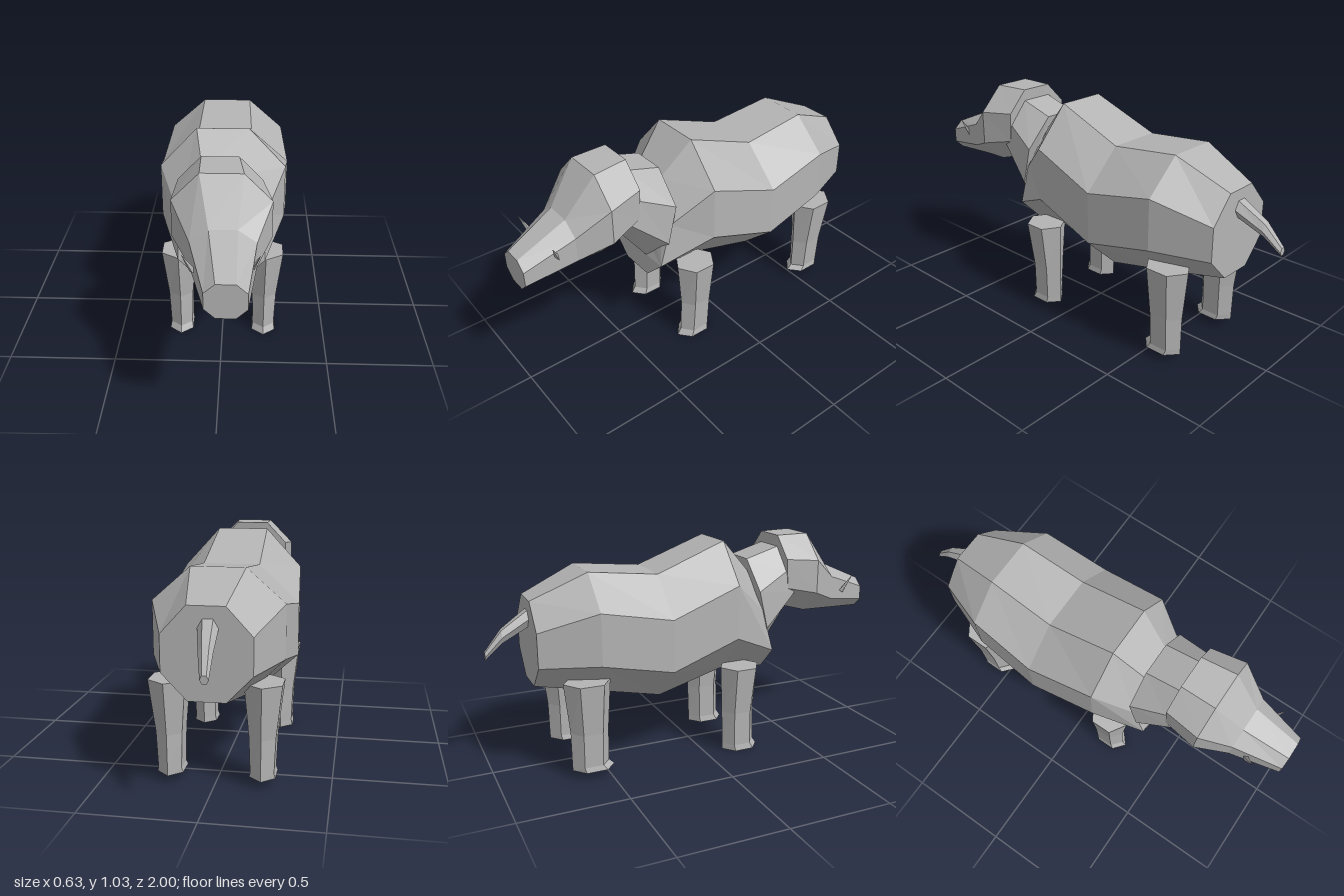
import * as THREE from 'three';

const hide = new THREE.MeshStandardMaterial({ color: 0xb4b4b4 });

// Skin a row of rings (each counter-clockwise about the direction of travel) and cap both ends, with flat faces.
function loft(name, rings) {
  const n = rings[0].length, pos = [];
  const tri = (a, b, c) => pos.push(...a, ...b, ...c);
  for (let r = 0; r + 1 < rings.length; r++) {
    const A = rings[r], B = rings[r + 1];
    for (let i = 0; i < n; i++) {
      const j = (i + 1) % n;
      tri(A[i], A[j], B[j]);
      tri(A[i], B[j], B[i]);
    }
  }
  const first = rings[0], last = rings[rings.length - 1];
  for (let i = 1; i + 1 < n; i++) {
    tri(first[0], first[i + 1], first[i]);
    tri(last[0], last[i], last[i + 1]);
  }
  const g = new THREE.BufferGeometry();
  g.setAttribute('position', new THREE.Float32BufferAttribute(pos, 3));
  g.computeVertexNormals();
  const mesh = new THREE.Mesh(g, hide);
  mesh.name = name;
  return mesh;
}

// Octagon: four heights and four depths (top, upper, lower, bottom), narrow and wide half-widths.
function octagon([top, up, low, bot], z, a, w, cx = 0) {
  const [zt, zu, zl, zb] = Array.isArray(z) ? z : [z, z, z, z];
  return [
    [cx + w, low, zl], [cx + w, up, zu], [cx + a, top, zt], [cx - a, top, zt],
    [cx - w, up, zu], [cx - w, low, zl], [cx - a, bot, zb], [cx + a, bot, zb],
  ];
}

// Hexagon lying flat with one corner facing forward.
const hexagon = (x, y, z, rx, rz) => Array.from({ length: 6 }, (_, i) => {
  const t = i * Math.PI / 3;
  return [x + rx * Math.sin(t), y, z + rz * Math.cos(t)];
});

// Leg rings: height, sideways offset, depth, radii.
function leg(name, side, levels) {
  return loft(name, levels.map(([y, x, z, rx, rz]) => hexagon(side * x, y, z, rx, rz)));
}

export function createModel() {
  const model = new THREE.Group();

  model.add(loft('body', [
    octagon([0.82, 0.70, 0.54, 0.425], -0.8, 0.08, 0.19),
    octagon([0.935, 0.785, 0.545, 0.38], -0.54, 0.12, 0.29),
    octagon([0.90, 0.725, 0.48, 0.31], -0.21, 0.13, 0.315),
    octagon([1.03, 0.845, 0.59, 0.40], 0.13, 0.12, 0.29),
    octagon([0.87, 0.69, 0.48, 0.365], [0.28, 0.31, 0.37, 0.37], 0.085, 0.2),
  ]));

  model.add(loft('neck', [
    octagon([0.925, 0.785, 0.60, 0.475], [0.28, 0.285, 0.33, 0.368], 0.08, 0.212),
    octagon([0.975, 0.865, 0.755, 0.66], [0.45, 0.45, 0.50, 0.50], 0.08, 0.175),
  ]));

  // Head, drifting slightly to its left toward the snout
  model.add(loft('head', [
    octagon([1.03, 0.925, 0.78, 0.67], [0.45, 0.45, 0.46, 0.49], 0.08, 0.18, 0),
    octagon([1.03, 0.91, 0.745, 0.633], 0.62, 0.09, 0.208, 0.012),
    octagon([0.855, 0.80, 0.685, 0.618], 0.765, 0.058, 0.135, 0.022),
    octagon([0.755, 0.715, 0.645, 0.603], 1.0, 0.04, 0.085, 0.04),
  ]));

  // Tusks: slim spikes pointing up, out and forward
  const up = new THREE.Vector3(0, 1, 0);
  for (const s of [1, -1]) {
    const base = new THREE.Vector3(0.018 + s * 0.112, 0.715, 0.84);
    const tip = new THREE.Vector3(0.018 + s * 0.152, 0.81, 0.88);
    const dir = tip.clone().sub(base);
    const tusk = new THREE.Mesh(new THREE.ConeGeometry(0.014, dir.length(), 4).toNonIndexed(), hide);
    tusk.geometry.computeVertexNormals();
    tusk.position.copy(base).addScaledVector(dir, 0.5);
    tusk.quaternion.setFromUnitVectors(up, dir.normalize());
    tusk.name = s > 0 ? 'leftTusk' : 'rightTusk';
    model.add(tusk);
  }

  // Tail, hanging back and a little to the right
  const tailRing = (x, y, z, rx, ry) => hexagon(0, 0, 0, 1, 1)
    .map(([s, , c]) => [x + rx * c, y + ry * s, z]);
  model.add(loft('tail', [
    tailRing(-0.033, 0.58, -1.0, 0.018, 0.02),
    tailRing(-0.022, 0.66, -0.92, 0.03, 0.034),
    tailRing(-0.006, 0.735, -0.79, 0.045, 0.045),
  ]));

  for (const [s, side] of [[1, 'Left'], [-1, 'Right']]) {
    model.add(leg(`front${side}Leg`, s, [
      [0, 0.203, 0.19, 0.066, 0.095],
      [0.03, 0.203, 0.18, 0.06, 0.085],
      [0.2, 0.204, 0.175, 0.067, 0.085],
      [0.43, 0.208, 0.18, 0.094, 0.1],
    ]));
    model.add(leg(`hind${side}Leg`, s, [
      [0.035, 0.203, -0.572, 0.066, 0.1],
      [0.06, 0.203, -0.585, 0.06, 0.088],
      [0.22, 0.204, -0.585, 0.067, 0.09],
      [0.46, 0.208, -0.59, 0.094, 0.11],
    ]));
  }
  return model;
}
